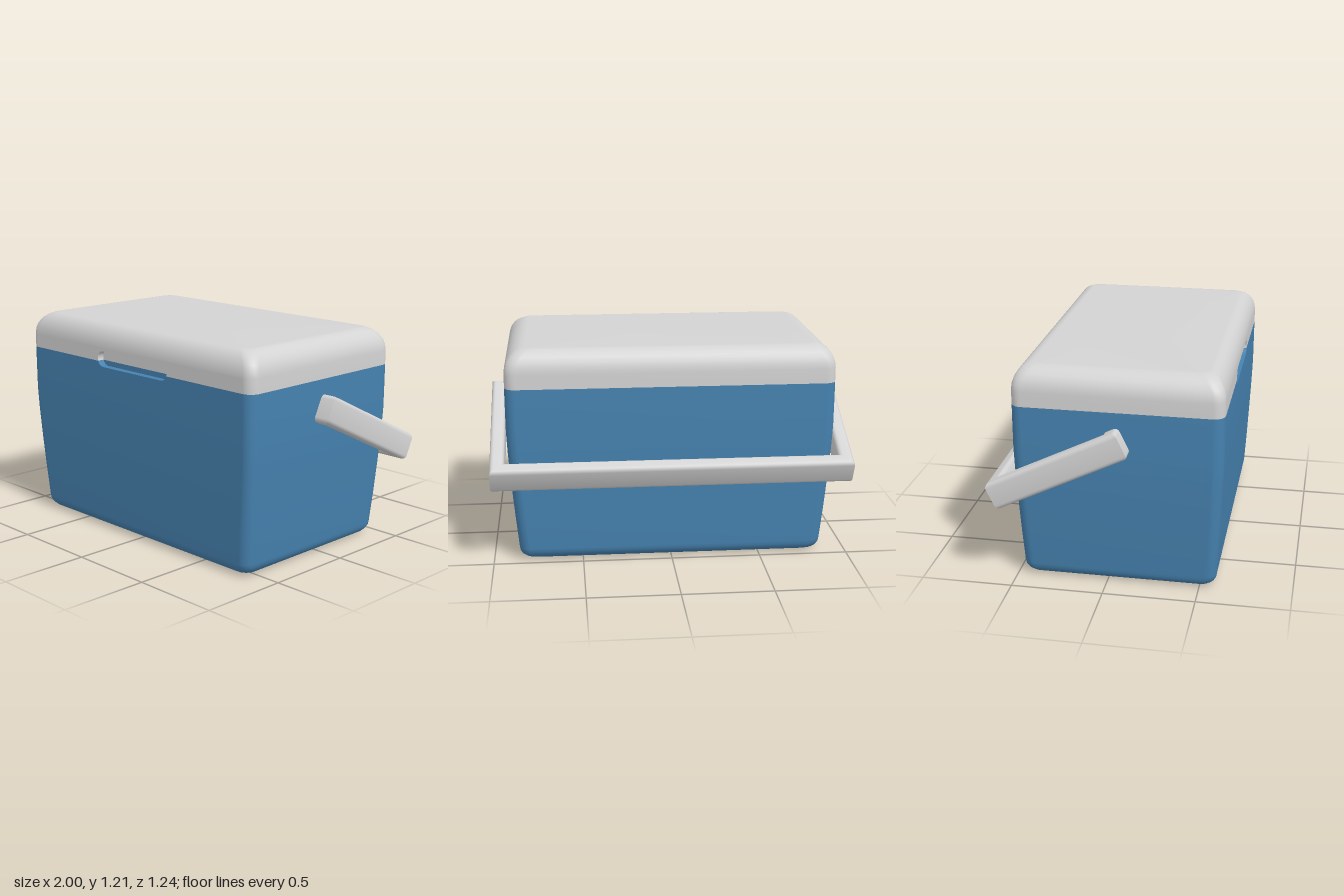
import * as THREE from 'three';
import { toCreasedNormals } from 'three/addons/utils/BufferGeometryUtils.js';

const CZ = 0.06, HX = 0.91, HZ = 0.56, R = 0.06; // centre in z, half sizes, corner radius
const FRONT = CZ + HZ, W = HX - R, SEAM = 1, SEG = 6;

// Loft through rounded-rectangle rings [y, halfX, halfZ, radius];
// the flat front of band `openBand` is left out for the slotted panel.
function loft(rings, openBand) {
  const pos = [], all = [], kept = [], n = 4 * (SEG + 1);
  for (const [y, hx, hz, r] of rings) {
    for (let c = 0; c < 4; c++) {
      const sx = c === 0 || c === 3 ? 1 : -1, sz = c < 2 ? 1 : -1;
      for (let k = 0; k <= SEG; k++) {
        const a = (c + k / SEG) * Math.PI / 2;
        pos.push(sx * (hx - r) + r * Math.cos(a), y, CZ + sz * (hz - r) + r * Math.sin(a));
      }
    }
  }
  for (let i = 0; i < rings.length - 1; i++) {
    for (let j = 0; j < n; j++) {
      const a = i * n + j, b = i * n + (j + 1) % n, d = a + n, c = b + n;
      const quad = [a, d, c, a, c, b];
      all.push(...quad);
      if (!(i === openBand && j === SEG)) kept.push(...quad);
    }
  }
  const g = new THREE.BufferGeometry();
  g.setAttribute('position', new THREE.Float32BufferAttribute(pos, 3));
  g.setIndex(all);
  g.computeVertexNormals();
  g.setIndex(kept);
  return g;
}

// Points along one rounded end of the finger slot
const SLOT = { x: 0.242, y: 1.015, r: 0.045, depth: 0.04 };
function arc(side, a0, a1) {
  return Array.from({ length: 11 }, (_, i) => {
    const a = a0 + (a1 - a0) * i / 10;
    return new THREE.Vector2(side * SLOT.x + SLOT.r * Math.cos(a), SLOT.y + SLOT.r * Math.sin(a));
  });
}

// Walls running from the front face back to the slot floor, facing inwards
function slotWall(points) {
  const pos = [];
  for (let i = 0; i < points.length - 1; i++) {
    const p = points[i], q = points[i + 1], b = FRONT - SLOT.depth;
    pos.push(p.x, p.y, FRONT, q.x, q.y, FRONT, q.x, q.y, b);
    pos.push(p.x, p.y, FRONT, q.x, q.y, b, p.x, p.y, b);
  }
  const g = new THREE.BufferGeometry();
  g.setAttribute('position', new THREE.Float32BufferAttribute(pos, 3));
  g.computeVertexNormals();
  return toCreasedNormals(g, 0.6);
}

export function createModel() {
  const root = new THREE.Group();
  const blue = new THREE.MeshStandardMaterial({ color: 0x4682b0 });
  blue.name = 'blue';
  const grey = new THREE.MeshStandardMaterial({ color: 0xd3d3d3 });
  grey.name = 'lightGrey';
  const add = (name, geometry, material, z = 0) => {
    const m = new THREE.Mesh(geometry, material);
    m.name = name;
    m.position.z = z;
    root.add(m);
    return m;
  };

  // Tapered tub with a rounded base
  const tub = [[0, 0, 0, 0]];
  for (let i = 0; i <= 5; i++) {
    const t = i / 5 * Math.PI / 2;
    tub.push([0.07 * (1 - Math.cos(t)), 0.79 + 0.067 * Math.sin(t), 0.46 + 0.07 * Math.sin(t), R]);
  }
  tub.push([0.25, 0.874, 0.54, R], [0.45, 0.891, 0.549, R], [0.62, 0.903, 0.556, R],
    [0.75, 0.909, 0.56, R], [0.92, HX, HZ, R], [SEAM, HX, HZ, R]);
  add('tub', loft(tub, tub.length - 2), blue);

  // Lid with a rounded top edge
  const lid = [[SEAM, HX, HZ, R]];
  for (let i = 0; i <= 6; i++) {
    const t = i / 6 * Math.PI / 2, k = 1 - Math.cos(t);
    lid.push([1.08 + 0.13 * Math.sin(t), HX - 0.12 * k, HZ - 0.1 * k, R]);
  }
  lid.push([1.21, 0, 0, 0]);
  add('lid', loft(lid, 0), grey);

  // Finger slot, split at the seam into a lid half and a tub half
  const cut = Math.asin((SLOT.y - SEAM) / SLOT.r), P = Math.PI;
  const halves = [
    ['lid', grey, 1.08, [...arc(1, -cut, P / 2), ...arc(-1, P / 2, P + cut)]],
    ['tub', blue, 0.92, [...arc(-1, P + cut, 1.5 * P), ...arc(1, 1.5 * P, 2 * P - cut)]],
  ];
  for (const [name, material, edge, points] of halves) {
    const s = points[0].x > 0 ? 1 : -1;
    const panel = new THREE.Shape([
      ...points,
      new THREE.Vector2(-s * W, SEAM), new THREE.Vector2(-s * W, edge),
      new THREE.Vector2(s * W, edge), new THREE.Vector2(s * W, SEAM),
    ]);
    add(name + 'FrontPanel', new THREE.ShapeGeometry(panel), material, FRONT);
    add(name + 'SlotWall', slotWall(points), material);
    add(name + 'SlotFloor', new THREE.ShapeGeometry(new THREE.Shape(points)), material, FRONT - SLOT.depth);
  }

  // Carrying handle: a bracket-shaped frame with pivot stubs, swung to the back
  const L = 0.78, T = 0.08, bevel = 0.025, width = 0.155;
  const right = [[0.885, 0], [1, 0], [1, L]];
  const inner = [[1 - T, L - T], [1 - T, 0.09], [0.885, 0.09]];
  const flip = (pts) => pts.map(([x, y]) => [-x, y]).reverse();
  const outline = [...right, ...flip(right), ...flip(inner), ...inner];
  const frame = new THREE.ExtrudeGeometry(
    new THREE.Shape(outline.map(([x, y]) => new THREE.Vector2(x, y))),
    { depth: width - 2 * bevel, bevelThickness: bevel, bevelSize: bevel, bevelOffset: -bevel, bevelSegments: 4 });
  frame.translate(0, 0, bevel - width / 2);
  const handle = add('handle', toCreasedNormals(frame, 0.6), grey);
  handle.position.set(0, 0.853, 0.105);
  handle.rotation.x = -(Math.PI / 2 + 0.454);

  return root;
}
